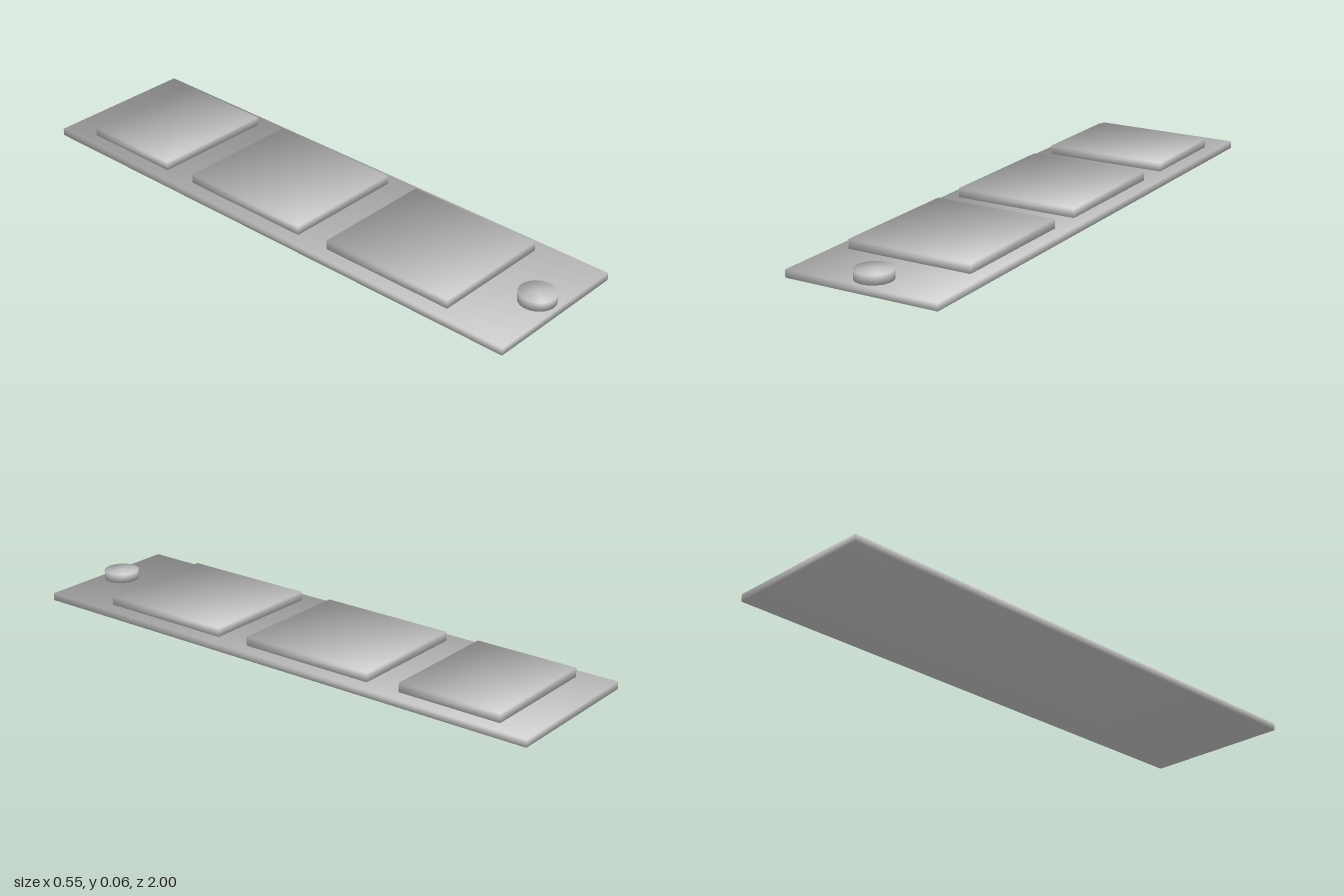
import * as THREE from 'three';

const grey = new THREE.MeshStandardMaterial({ color: 0xc4c4c4 });
grey.name = 'plain grey';

// Softens the shading: normals point outwards from the centre, shared across edges
function soften(geometry, normalAt) {
  const p = geometry.attributes.position;
  const n = geometry.attributes.normal;
  const v = new THREE.Vector3();
  for (let i = 0; i < p.count; i++) {
    normalAt(v.fromBufferAttribute(p, i)).normalize();
    n.setXYZ(i, v.x, v.y, v.z);
  }
  return geometry;
}

// Flat slab between two heights and two depths
function slab(name, width, y0, y1, z0, z1) {
  const geometry = soften(
    new THREE.BoxGeometry(width, y1 - y0, z1 - z0),
    v => v.set(Math.sign(v.x), Math.sign(v.y), Math.sign(v.z))
  );
  const mesh = new THREE.Mesh(geometry, grey);
  mesh.name = name;
  mesh.position.set(0, (y0 + y1) / 2, (z0 + z1) / 2);
  return mesh;
}

export function createModel() {
  const group = new THREE.Group();
  group.name = 'panelStrip';

  // Long base strip
  const baseTop = 0.026, top = 0.058;
  group.add(slab('base', 0.55, 0, baseTop, -1, 1));

  // Three raised panels, the rear one shorter
  const panels = [['rearPanel', -0.875, -0.5], ['middlePanel', -0.375, 0.125], ['frontPanel', 0.25, 0.75]];
  for (const [name, z0, z1] of panels) group.add(slab(name, 0.45, baseTop, top, z0, z1));

  // Round button at the front end
  const r = 0.0625;
  const button = new THREE.Mesh(
    soften(new THREE.CylinderGeometry(r, r, top - baseTop, 32), v => v.set(v.x / r, Math.sign(v.y), v.z / r)),
    grey
  );
  button.name = 'button';
  button.position.set(0, (baseTop + top) / 2, 0.925);
  group.add(button);

  return group;
}
